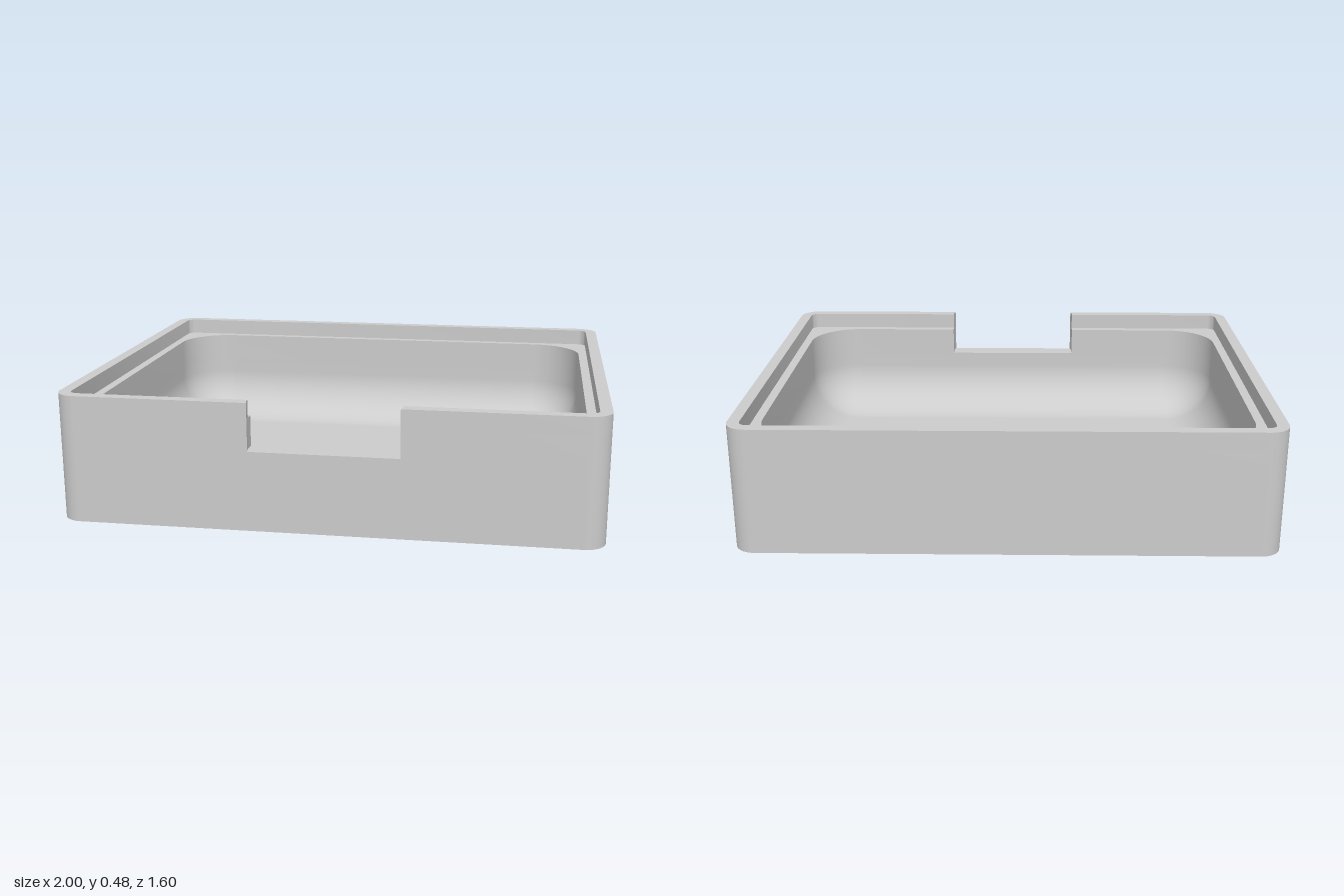
import * as THREE from 'three';
import { toCreasedNormals } from 'three/addons/utils/BufferGeometryUtils.js';

const ARC = 18; // segments per rounded corner

// Rounded rectangle seen from above (second coordinate = -z),
// running from the front right corner round the back to the front left corner.
function ring(hx, hz, r) {
  const pts = [];
  [[1, -1], [1, 1], [-1, 1], [-1, -1]].forEach(([sx, sz], c) => {
    for (let i = 0; i <= ARC; i++) {
      const a = (c - 1 + i / ARC) * Math.PI / 2;
      pts.push(new THREE.Vector2(sx * (hx - r) + r * Math.cos(a), sz * (hz - r) + r * Math.sin(a)));
    }
  });
  return pts;
}

// Skin through rounded rectangles, each given as [halfX, halfZ, radius, y]
function loft(sections) {
  const pos = [], idx = [], n = 4 * (ARC + 1);
  sections.forEach(([hx, hz, r, y], k) => {
    ring(hx, hz, r).forEach(p => pos.push(p.x, y, -p.y));
    if (k === 0) return;
    for (let i = 0; i < n; i++) {
      const j = (i + 1) % n, a = (k - 1) * n, b = k * n;
      idx.push(a + i, a + j, b + j, a + i, b + j, b + i);
    }
  });
  const g = new THREE.BufferGeometry();
  g.setAttribute('position', new THREE.Float32BufferAttribute(pos, 3));
  g.setIndex(idx);
  g.computeVertexNormals();
  return g;
}

// Wall with the notch left open at the front
function notchedWall(inner, y0, y1) {
  const v = (x, z) => new THREE.Vector2(x, -z);
  const innerZ = -inner[0].y;
  const outline = [
    v(0.275, 0.8), ...ring(1, 0.8, 0.08), v(-0.275, 0.8), v(-0.279, 0.785), v(-0.281, 0.77), v(-0.281, innerZ),
    ...inner.slice().reverse(), v(0.281, innerZ), v(0.281, 0.77), v(0.279, 0.785),
  ];
  const g = new THREE.ExtrudeGeometry(new THREE.Shape(outline), { depth: y1 - y0, bevelEnabled: false });
  g.rotateX(-Math.PI / 2);
  g.translate(0, y0, 0);
  return toCreasedNormals(g, 0.5);
}

export function createModel() {
  const group = new THREE.Group();
  const grey = new THREE.MeshStandardMaterial({ color: 0xcccccc });
  grey.name = 'grey plastic';
  const add = (name, geometry) => {
    const m = new THREE.Mesh(geometry, grey);
    m.name = name;
    group.add(m);
  };

  const notchY = 0.3, ledgeY = 0.415, topY = 0.48, floorY = 0.04, R = 0.2;

  // Lower body, up to the sill of the notch
  add('underside', loft([[0, 0, 0, 0], [1, 0.8, 0.08, 0]]));
  add('outerWall', loft([[1, 0.8, 0.08, 0], [1, 0.8, 0.08, notchY]]));
  add('notchSill', loft([[1, 0.8, 0.08, notchY], [0.92, 0.72, R, notchY]]));

  // Cavity with a rounded transition from wall to floor
  const bowl = [[0.92, 0.72, R, notchY]];
  for (let i = 0; i <= 14; i++) {
    const a = i / 14 * Math.PI / 2, r = R * Math.cos(a);
    bowl.push([0.72 + r, 0.52 + r, r, floorY + R - R * Math.sin(a)]);
  }
  bowl.push([0, 0, 0, floorY]);
  add('cavity', loft(bowl));

  // Upper wall with the lid ledge, and the thin rim above it
  add('ledgeWall', notchedWall(ring(0.92, 0.72, R), notchY, ledgeY));
  add('rim', notchedWall(ring(0.955, 0.755, 0.035), ledgeY, topY));

  return group;
}
